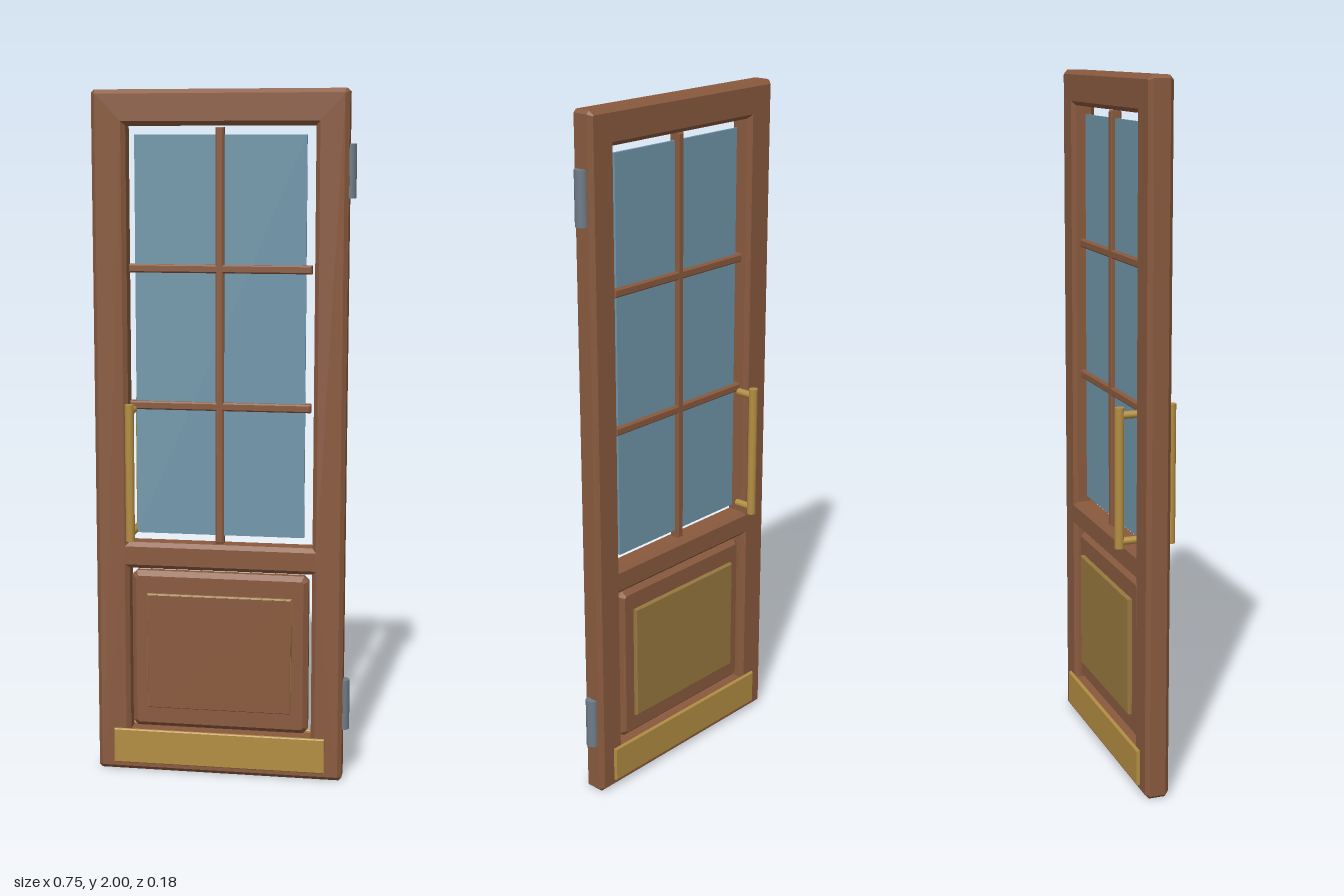
import * as THREE from 'three';

const CX = -0.01; // centre line of the door leaf

const material = (name, color, side = THREE.FrontSide) => {
  const m = new THREE.MeshStandardMaterial({ color, side });
  m.name = name;
  return m;
};

// Rectangle with cut corners, traced counter-clockwise
function outline(Ctor, cx, y0, y1, half, cut = 0) {
  const l = cx - half, r = cx + half;
  const pts = cut
    ? [[l + cut, y0], [r - cut, y0], [r, y0 + cut], [r, y1 - cut],
       [r - cut, y1], [l + cut, y1], [l, y1 - cut], [l, y0 + cut]]
    : [[l, y0], [r, y0], [r, y1], [l, y1]];
  return new Ctor(pts.map(([x, y]) => new THREE.Vector2(x, y)));
}

// Chamfered plate between z0 and z1; the outline is its largest extent
function plate(shape, z0, z1, bevel) {
  const g = new THREE.ExtrudeGeometry(shape, {
    depth: z1 - z0 - 2 * bevel, bevelEnabled: bevel > 0, bevelThickness: bevel,
    bevelSize: bevel, bevelOffset: -bevel, bevelSegments: 1,
  });
  g.translate(0, 0, z0 + bevel);
  return g;
}

export function createModel() {
  const wood = material('wood', 0x8a5a3e);
  const lightWood = material('light wood', 0x98783f);
  const brass = material('brass', 0xb38e42);
  const steel = material('steel', 0x6f7c88);
  const glass = material('glass', 0x7096aa);

  const door = new THREE.Group();
  door.name = 'door';
  const add = (name, geometry, mat, x = 0, y = 0, z = 0, parent = door) => {
    const mesh = new THREE.Mesh(geometry, mat);
    mesh.name = name;
    mesh.position.set(x, y, z);
    parent.add(mesh);
    return mesh;
  };

  // Frame: stiles and rails around a window opening and a panel opening
  const frame = outline(THREE.Shape, CX, 0, 2, 0.365, 0.009);
  frame.holes.push(outline(THREE.Path, CX + 0.003, 0.7, 1.9, 0.27));
  frame.holes.push(outline(THREE.Path, CX + 0.003, 0.125, 0.622, 0.27));
  add('frame', plate(frame, -0.035, 0.035, 0.012), wood);

  // Window pane and glazing bars
  add('windowPane', new THREE.BoxGeometry(0.492, 1.15, 0.008), glass, CX, 1.3, 0);
  add('verticalBar', plate(outline(THREE.Shape, CX, 0.702, 1.896, 0.012), -0.016, 0.016, 0.004), wood);
  for (const y of [1.105, 1.5]) {
    add('horizontalBar', plate(outline(THREE.Shape, CX, y - 0.012, y + 0.012, 0.263), -0.016, 0.016, 0.004), wood);
  }

  // Lower panel with a raised field
  add('lowerPanel', plate(outline(THREE.Shape, CX, 0.135, 0.612, 0.262, 0.014), -0.024, 0.024, 0.014), wood);
  add('raisedField', plate(outline(THREE.Shape, CX, 0.198, 0.547, 0.214), -0.036, 0.034, 0.003), lightWood);
  add('frontField', plate(outline(THREE.Shape, CX, 0.2, 0.544, 0.212), 0.03, 0.036, 0.001), wood);

  // Kick plate and pull handle on each face
  for (const side of [1, -1]) {
    const face = side > 0 ? 'front' : 'back';
    const z0 = side > 0 ? 0.033 : -0.045;
    add(face + 'KickPlate', plate(outline(THREE.Shape, CX, 0.025, 0.13, 0.315), z0, z0 + 0.012, 0.003), brass);

    const handle = new THREE.Group();
    handle.name = face + 'Handle';
    door.add(handle);
    add('grip', new THREE.CylinderGeometry(0.013, 0.013, 0.4, 20), brass, -0.262, 0.915, side * 0.076, handle);
    for (const y of [0.735, 1.093]) {
      const post = add('post', new THREE.CylinderGeometry(0.011, 0.011, 0.056, 12), brass,
        -0.262, y, side * 0.048, handle);
      post.rotation.x = Math.PI / 2;
    }
  }

  // Hinge knuckles on the left edge
  for (const y of [0.23, 1.775]) {
    add('hinge', new THREE.CylinderGeometry(0.019, 0.019, 0.15, 16), steel, 0.355, y, 0);
  }

  return door;
}
